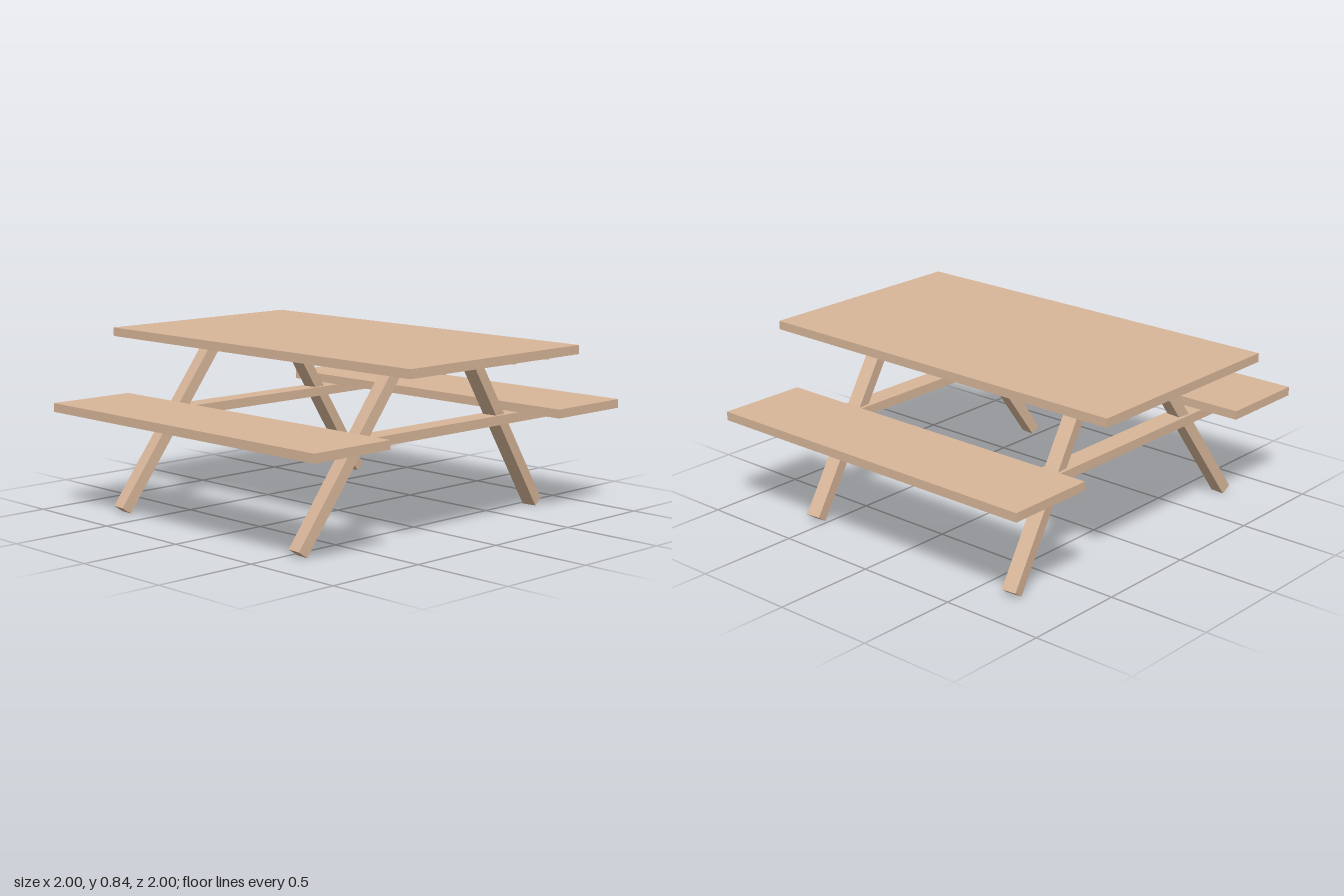
import * as THREE from 'three';

export function createModel() {
  const model = new THREE.Group();
  model.name = 'picnicTable';
  const wood = new THREE.MeshStandardMaterial({ color: 0xd8b699 });
  wood.name = 'paleWood';

  const board = (name, size, position) => {
    const mesh = new THREE.Mesh(new THREE.BoxGeometry(...size), wood);
    mesh.name = name;
    mesh.position.set(...position);
    model.add(mesh);
    return mesh;
  };

  // Table top, with narrow seams between its five planks underneath
  board('tableTop', [2, 0.042, 1.11], [0, 0.819, 0]);
  for (let i = 0; i < 4; i++) {
    board('plankSeam', [1.99, 0.008, 0.018], [0, 0.798, (i - 1.5) * 0.225]);
  }

  // Two benches, front and back
  for (const side of [1, -1]) {
    board('bench', [1.78, 0.042, 0.442], [0, 0.508, side * 0.779]);
  }

  // Two trestles: a cross beam and a pair of splayed, slightly yawed legs
  const splay = 0.611;
  const yaw = 0.1;
  for (const shift of [0, 1.222]) {
    board('crossBeam', [0.106, 0.045, 1.55], [-0.636 + shift, 0.463, 0]);
    for (const side of [1, -1]) {
      const leg = board('leg', [0.073, 0.96, 0.055], [-0.642 + shift, 0.409, side * 0.503]);
      leg.rotation.set(-side * splay, -side * yaw, 0, 'YXZ');
    }
  }

  return model;
}
